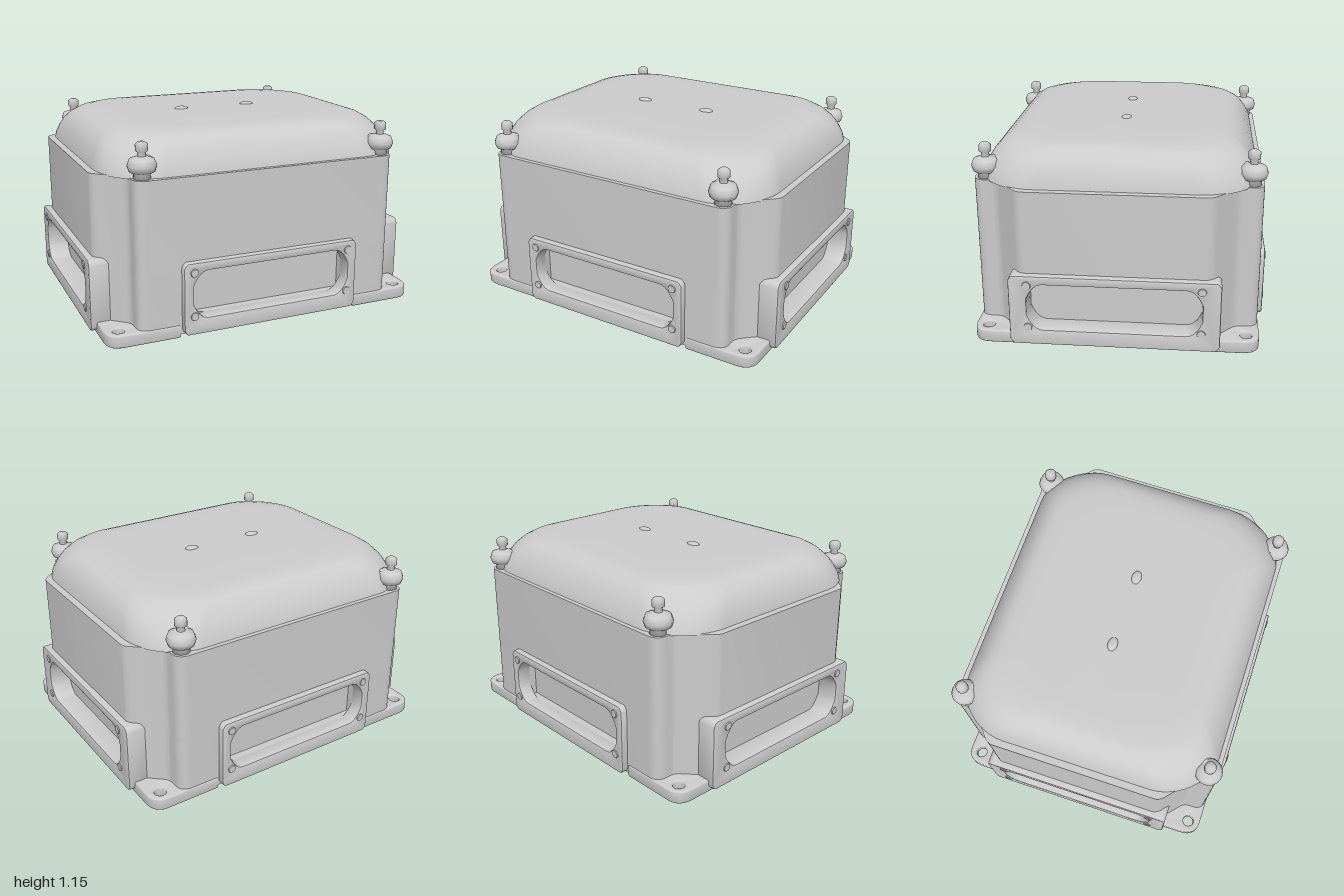
import * as THREE from 'three';
import { toCreasedNormals } from 'three/addons/utils/BufferGeometryUtils.js';

const V = (x, y) => new THREE.Vector2(x, y);
const grey = new THREE.MeshStandardMaterial({ color: 0xcccccc });
const SIGNS = [-1, 1];

// Mirror a quarter outline (running from +z to +x) into a closed loop
function mirrorQuarter(q) {
  const flip = (sx, sz) => q.map(p => V(p.x * sx, p.y * sz));
  return [...flip(1, 1), ...flip(1, -1).reverse(), ...flip(-1, -1), ...flip(-1, 1).reverse()];
}

// Extrude a plan shape upwards from y0 to y1
function slab(shape, y0, y1, bevel = 0) {
  const g = new THREE.ExtrudeGeometry(shape, {
    depth: y1 - y0 - 2 * bevel, curveSegments: 10, bevelEnabled: bevel > 0,
    bevelSize: bevel, bevelThickness: bevel, bevelOffset: -bevel, bevelSegments: 3,
  });
  g.rotateX(-Math.PI / 2).translate(0, y0 + bevel, 0);
  return toCreasedNormals(g, 0.7);
}

// Rectangle with corners cut by c
function cutRect(path, x0, y0, x1, y1, c) {
  path.moveTo(x0 + c, y0);
  path.lineTo(x1 - c, y0);
  path.quadraticCurveTo(x1 - c * 0.4, y0, x1, y0 + c);
  path.lineTo(x1, y1 - c);
  path.quadraticCurveTo(x1 - c * 0.4, y1, x1 - c, y1);
  path.lineTo(x0 + c, y1);
  path.quadraticCurveTo(x0 + c * 0.4, y1, x0, y1 - c);
  path.lineTo(x0, y0 + c);
  path.quadraticCurveTo(x0 + c * 0.4, y0, x0 + c, y0);
  return path;
}

// Stack rounded outlines [y, halfWidth, halfDepth] into a closed dome
function domeGeometry(levels, cornerX, cornerZ) {
  const pos = [], idx = [];
  let n = 0;
  for (const [y, w, d] of levels) {
    const corner = new THREE.CubicBezierCurve(
      V(w - cornerX * 1.5, d), V(w - cornerX * 0.75, d), V(w, d - cornerZ * 0.75), V(w, d - cornerZ * 1.5));
    const ring = mirrorQuarter(corner.getPoints(12));
    n = ring.length;
    ring.forEach(p => pos.push(p.x, y, p.y));
  }
  const last = (levels.length - 1) * n;
  pos.push(0, levels[levels.length - 1][0] + 0.003, 0);
  for (let j = 0; j < n; j++) {
    const k = (j + 1) % n;
    for (let i = 0; i < last; i += n) idx.push(i + j, i + k, i + n + j, i + k, i + n + k, i + n + j);
    idx.push(last + j, last + k, last + n);
  }
  const g = new THREE.BufferGeometry();
  g.setAttribute('position', new THREE.Float32BufferAttribute(pos, 3));
  g.setIndex(idx);
  g.computeVertexNormals();
  return g;
}

export function createModel() {
  const model = new THREE.Group();
  const add = (name, geo, parent = model) => {
    const m = new THREE.Mesh(geo, grey);
    m.name = name;
    parent.add(m);
    return m;
  };

  // Body: stepped corners, with a recess in each wall in the middle layer
  const W = 0.96, D = 0.8, R = 0.09;
  const c = new THREE.Path();
  c.moveTo(0.72, D);
  c.quadraticCurveTo(0.79, D, 0.79, 0.73);
  c.lineTo(0.79, 0.7);
  c.quadraticCurveTo(0.79, 0.67, 0.82, 0.645);
  c.lineTo(0.92, 0.555);
  c.quadraticCurveTo(W, 0.525, W, 0.49);
  const quarter = c.getPoints(8);
  const recessed = [V(0.488, D - R), V(0.488, D), ...quarter, V(W, 0.488), V(W - R, 0.488)];
  const solid = new THREE.Shape(mirrorQuarter(quarter));
  add('bodyBase', slab(solid, 0.02, 0.11));
  add('bodyRecessedWalls', slab(new THREE.Shape(mirrorQuarter(recessed)), 0.11, 0.39));
  add('bodyUpper', slab(solid, 0.39, 0.915));

  // Domed lid
  add('lid', domeGeometry([
    [0.91, 0.92, 0.775], [0.95, 0.912, 0.765], [1.0, 0.893, 0.74], [1.04, 0.872, 0.715],
    [1.08, 0.837, 0.68], [1.108, 0.795, 0.64], [1.122, 0.75, 0.595], [1.128, 0.69, 0.535], [1.13, 0.62, 0.46],
  ], 0.2, 0.22));
  for (const x of [-0.23, 0.21]) {
    const mark = add('lidMark', new THREE.SphereGeometry(1, 12, 8));
    mark.scale.set(0.045, 0.016, 0.03);
    mark.position.set(x, 1.13, 0);
  }

  // Cable-entry frames on all four walls
  const frames = [
    ['front', 0, 0.54, D, 0.04, 0.08], ['back', Math.PI, 0.54, D, 0.04, 0.08],
    ['left', Math.PI / 2, 0.585, W, 0.04, 0.13], ['right', -Math.PI / 2, 0.585, W, 0.04, 0.13],
  ];
  for (const [side, angle, half, wall, out, depth] of frames) {
    const frame = new THREE.Group();
    frame.name = side + 'EntryFrame';
    frame.rotation.y = angle;
    model.add(frame);
    const plate = cutRect(new THREE.Shape(), -half, 0.02, half, 0.44, 0.03);
    plate.holes.push(cutRect(new THREE.Path(), -0.485, 0.113, 0.485, 0.388, 0.09));
    const g = new THREE.ExtrudeGeometry(plate, {
      depth: depth - 0.01, curveSegments: 6, bevelSize: 0.01, bevelThickness: 0.01, bevelOffset: -0.01, bevelSegments: 2,
    });
    g.translate(0, 0, wall + out - depth);
    add('framePlate', toCreasedNormals(g, 0.7), frame);
    for (const sx of SIGNS) for (const y of [0.13, 0.385]) {
      const screw = add('frameScrew', new THREE.CylinderGeometry(0.022, 0.026, 0.012, 16), frame);
      screw.rotation.x = Math.PI / 2;
      screw.position.set(sx * 0.48, y, wall + out);
    }
  }

  // Each corner: mounting foot with hole, lid lug and bolt
  const lugProfile = [[0, 0.9], [0.05, 0.9], [0.045, 0.94], [0.07, 0.955], [0.08, 0.985], [0.068, 1.02], [0.03, 1.035], [0, 1.035]];
  const boltProfile = [[0.024, 1.02], [0.022, 1.055], [0.034, 1.065], [0.034, 1.1], [0.02, 1.112], [0, 1.112]];
  const lathe = p => new THREE.LatheGeometry(p.map(a => V(...a)), 20);
  for (const sx of SIGNS) for (const sz of SIGNS) {
    const foot = new THREE.Shape();
    foot.moveTo(sx * 0.55, sz * 0.4);
    foot.lineTo(sx * 0.965, sz * 0.4);
    foot.lineTo(sx * 0.965, sz * 0.7);
    foot.quadraticCurveTo(sx * 0.965, sz * 0.805, sx * 0.87, sz * 0.805);
    foot.lineTo(sx * 0.55, sz * 0.805);
    foot.closePath();
    foot.holes.push(new THREE.Path().absarc(sx * 0.885, sz * 0.73, 0.034, 0, Math.PI * 2));
    add('mountingFoot', slab(foot, 0, 0.075, 0.01));

    const fastener = new THREE.Group();
    fastener.name = 'lidFastener';
    fastener.position.set(sx * 0.73, 0, sz * 0.735);
    model.add(fastener);
    add('lug', lathe(lugProfile), fastener);
    add('bolt', lathe(boltProfile), fastener);
    const web = add('lugWeb', new THREE.CapsuleGeometry(0.045, 0.14, 6, 14), fastener);
    web.position.set(-sx * 0.05, 0.985, -sz * 0.05);
    web.quaternion.setFromUnitVectors(new THREE.Vector3(0, 1, 0), new THREE.Vector3(sx, 0, sz).normalize());
  }
  return model;
}
